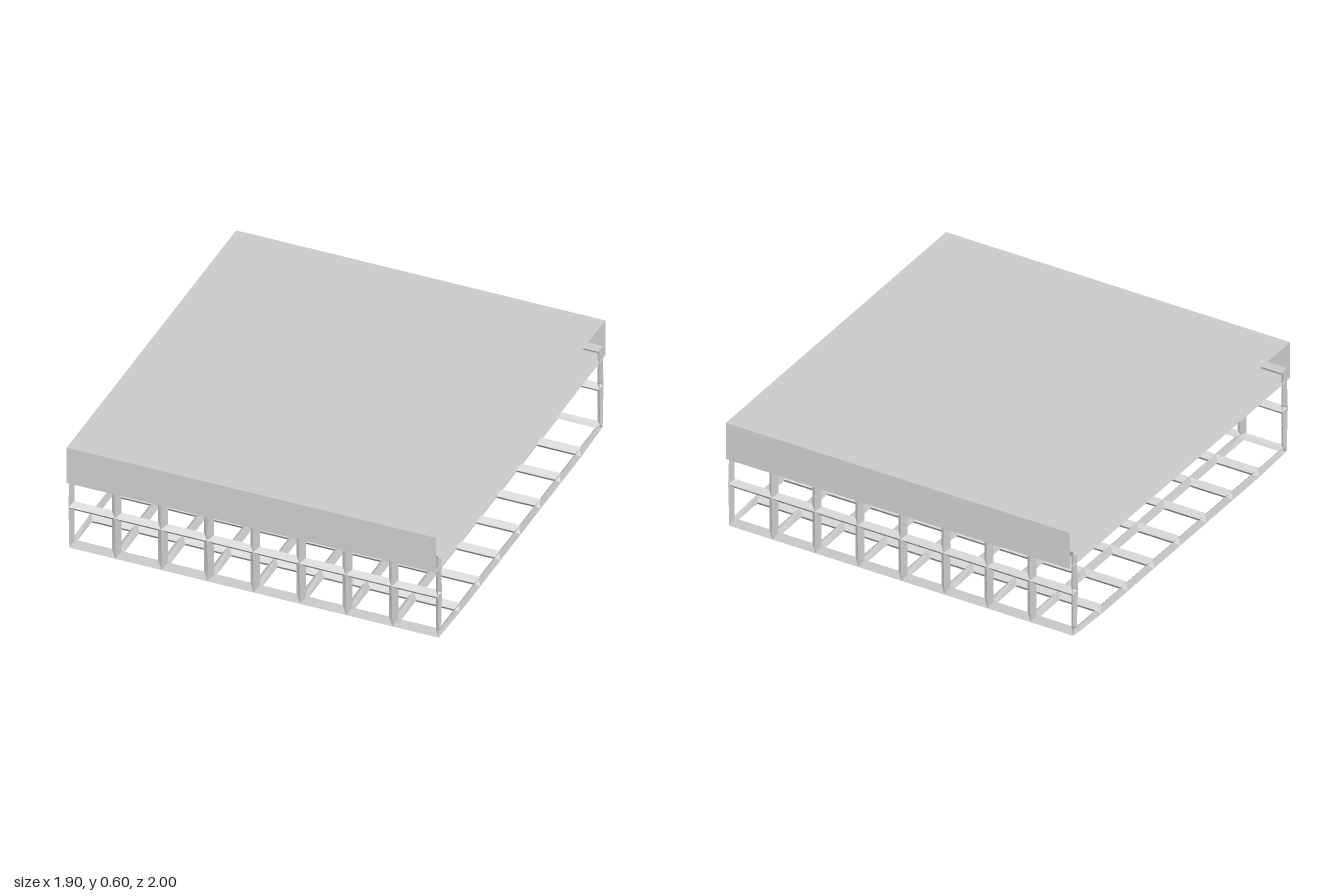
import * as THREE from 'three';

const material = new THREE.MeshStandardMaterial({
  color: 0xcccccc, flatShading: true, side: THREE.DoubleSide,
});

const HALF_X = 0.95;    // half extents of the lattice
const HALF_Z = 0.953;
const CELLS = 8;        // cells along x and along the floor
const STEP_X = (2 * HALF_X) / CELLS;
const STEP_Z = (2 * HALF_Z) / CELLS;
const T = 0.025;        // half thickness of a bar
const RIM = 0.021;      // width of the half bars at the open sides
const FLOOR_Y = 0.027;
const MID_Y = 0.247;
const TOP_Y = 0.465;

// One line of lattice nodes: middle, inner and outer points in the z, y plane.
const row = (z, y, dz, dy) => ({ mid: [z, y], inner: [z + dz, y + dy], outer: [z - dz, y - dy] });

// Rows run down the front wall, across the floor and up the back wall.
function latticeRows() {
  const wall = (s) => [row(s * HALF_Z, TOP_Y, -s * 0.014, -0.01), row(s * HALF_Z, MID_Y, -s * T, 0)];
  const corner = (s) => row(s * HALF_Z, FLOOR_Y, -s * 0.015, 0.015);
  const rows = [...wall(1), corner(1)];
  for (let i = 1; i < CELLS; i++) rows.push(row(HALF_Z - i * STEP_Z, FLOOR_Y, 0, 0.027));
  rows.push(corner(-1), ...wall(-1).reverse());
  return rows;
}

// Open lattice of diamond-section bars: each cell is a window bevelled on both sides.
function latticePanel(name, rows) {
  const positions = [];
  const quad = (a, b, c, d) => {
    for (const p of [a, b, c, a, c, d]) positions.push(p.x, p.y, p.z);
  };
  const at = (x, [z, y]) => new THREE.Vector3(x, y, z);

  for (let j = 0; j < rows.length - 1; j++) {
    const r0 = rows[j], r1 = rows[j + 1];
    const from = new THREE.Vector2(...r0.mid), to = new THREE.Vector2(...r1.mid);
    const k = T / from.distanceTo(to);
    const near = from.clone().lerp(to, k).toArray();
    const far = to.clone().lerp(from, k).toArray();

    for (let i = 0; i < CELLS; i++) {
      const x0 = -HALF_X + i * STEP_X, x1 = x0 + STEP_X;
      const w0 = x0 + (i === 0 ? RIM : T);
      const w1 = x1 - (i === CELLS - 1 ? RIM : T);
      const corners = [[x0, r0], [x1, r0], [x1, r1], [x0, r1]];
      const window = [at(w0, near), at(w1, near), at(w1, far), at(w0, far)];
      for (let a = 0; a < 4; a++) {
        const b = (a + 1) % 4;
        const [xa, ra] = corners[a], [xb, rb] = corners[b];
        quad(at(xa, ra.inner), at(xb, rb.inner), window[b], window[a]);
        quad(at(xb, rb.outer), at(xa, ra.outer), window[a], window[b]);
      }
    }
  }
  const geometry = new THREE.BufferGeometry();
  geometry.setAttribute('position', new THREE.Float32BufferAttribute(positions, 3));
  geometry.computeVertexNormals();
  const mesh = new THREE.Mesh(geometry, material);
  mesh.name = name;
  return mesh;
}

// Flat sheet across the full width, turned about x to face the given way.
function sheet(name, depth, turn, y, z) {
  const mesh = new THREE.Mesh(new THREE.PlaneGeometry(2 * HALF_X, depth), material);
  mesh.name = name;
  mesh.rotation.x = turn;
  mesh.position.set(0, y, z);
  return mesh;
}

export function createModel() {
  const model = new THREE.Group();
  model.name = 'coveredBasket';

  // Basket: two walls and a floor, open at the left and right
  const basket = new THREE.Group();
  basket.name = 'basket';
  const rows = latticeRows();
  const n = rows.length;
  basket.add(
    latticePanel('frontWall', rows.slice(0, 3)),
    latticePanel('floor', rows.slice(2, n - 2)),
    latticePanel('backWall', rows.slice(n - 3)),
  );

  // Cover: a flat sleeve of four sheets, open at the left and right
  const cover = new THREE.Group();
  cover.name = 'cover';
  cover.add(
    sheet('coverTop', 2, -Math.PI / 2, 0.6, 0),
    sheet('coverBottom', 2, Math.PI / 2, 0.4, 0),
    sheet('coverFront', 0.2, 0, 0.5, 1),
    sheet('coverBack', 0.2, Math.PI, 0.5, -1),
  );

  model.add(basket, cover);
  return model;
}
